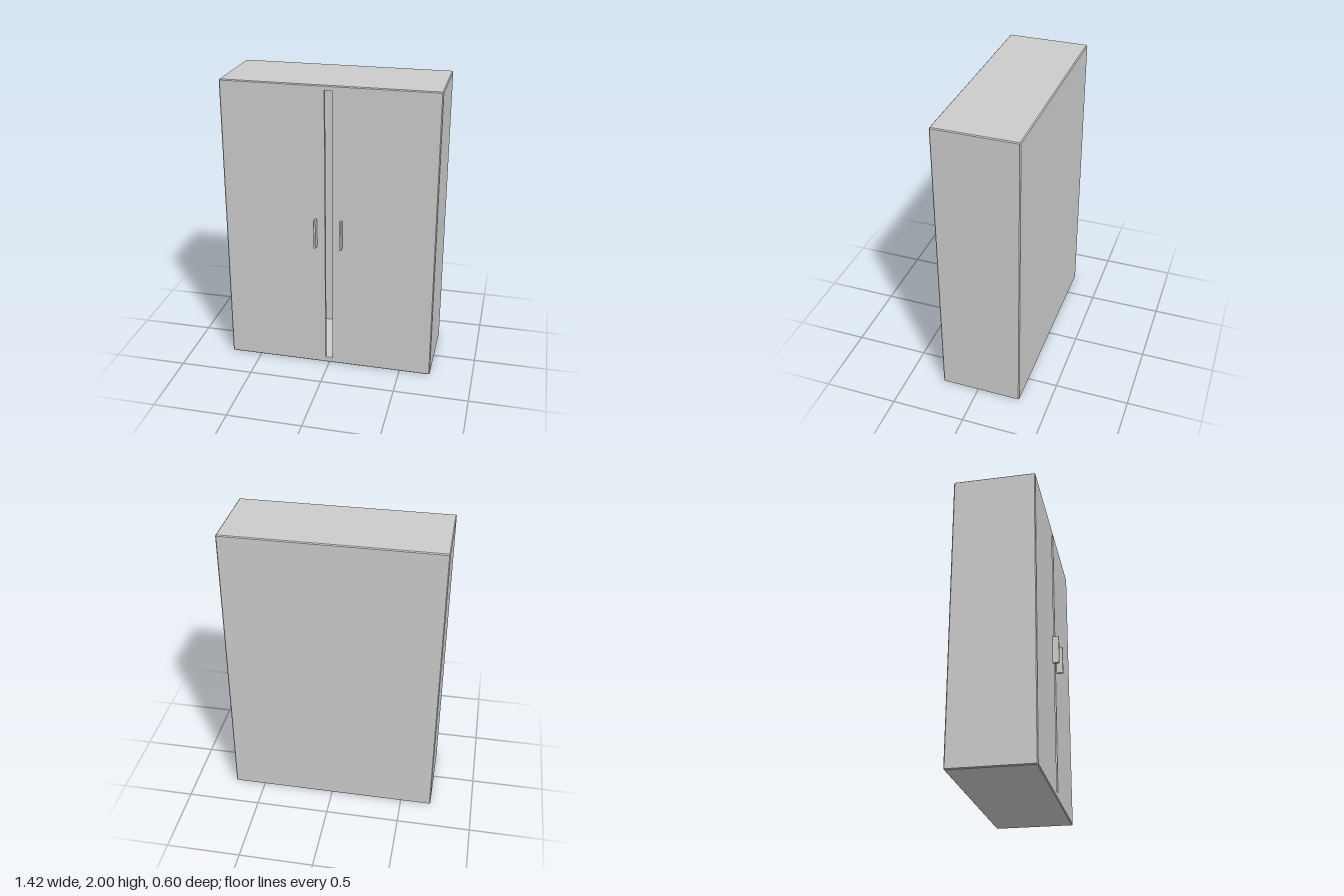
import * as THREE from 'three';
import { RoundedBoxGeometry } from 'three/addons/geometries/RoundedBoxGeometry.js';

const material = new THREE.MeshStandardMaterial({ color: 0xcccccc, flatShading: true });

// Rectangle in the xy plane with chamfered corners, counter-clockwise from the front
function ring(w, y0, y1, z, c) {
  return [
    [w - c, y0], [w, y0 + c], [w, y1 - c], [w - c, y1],
    [c - w, y1], [-w, y1 - c], [-w, y0 + c], [c - w, y0],
  ].map(([x, y]) => new THREE.Vector3(x, y, z));
}

// Skins a sequence of rings with flat quads
function loft(rings) {
  const points = [];
  for (let k = 0; k < rings.length - 1; k++) {
    const a = rings[k], b = rings[k + 1], n = a.length;
    for (let i = 0; i < n; i++) {
      const j = (i + 1) % n;
      points.push(a[i], b[i], b[j], a[i], b[j], a[j]);
    }
  }
  const geometry = new THREE.BufferGeometry().setFromPoints(points);
  geometry.computeVertexNormals();
  return geometry;
}

export function createModel() {
  const group = new THREE.Group();
  group.name = 'cabinet';

  const W = 0.712, H = 2, front = 0.253, back = -0.298, bevel = 0.006;
  const wall = 0.035, doorThickness = 0.025;
  const slotBottom = 0.042, slotTop = 1.967;

  // Hollow case with flush doors: from the inner back wall, out through the gap, round to the back
  const body = new THREE.Mesh(loft([
    ring(0, 1, 1, back + wall, 0),
    ring(W - wall, slotBottom, slotTop, back + wall, 0),
    ring(W - wall, slotBottom, slotTop, front - doorThickness, 0),
    ring(0.025, slotBottom, slotTop, front - doorThickness, 0),
    ring(0.025, slotBottom, slotTop, front, 0),
    ring(W - bevel, bevel, H - bevel, front, bevel / 2),
    ring(W, 0, H, front - bevel, bevel),
    ring(W, 0, H, back + bevel, bevel),
    ring(W - bevel, bevel, H - bevel, back, bevel / 2),
    ring(0, 1, 1, back, 0),
  ]), material);
  body.name = 'cabinetBody';
  group.add(body);

  // Door handles, one on each side of the gap
  for (const side of [-1, 1]) {
    const handle = new THREE.Mesh(new RoundedBoxGeometry(0.016, 0.2, 0.055, 2, 0.005), material);
    handle.name = side > 0 ? 'leftHandle' : 'rightHandle';
    handle.position.set(side * 0.086, 1, 0.2705);
    group.add(handle);
  }
  return group;
}
